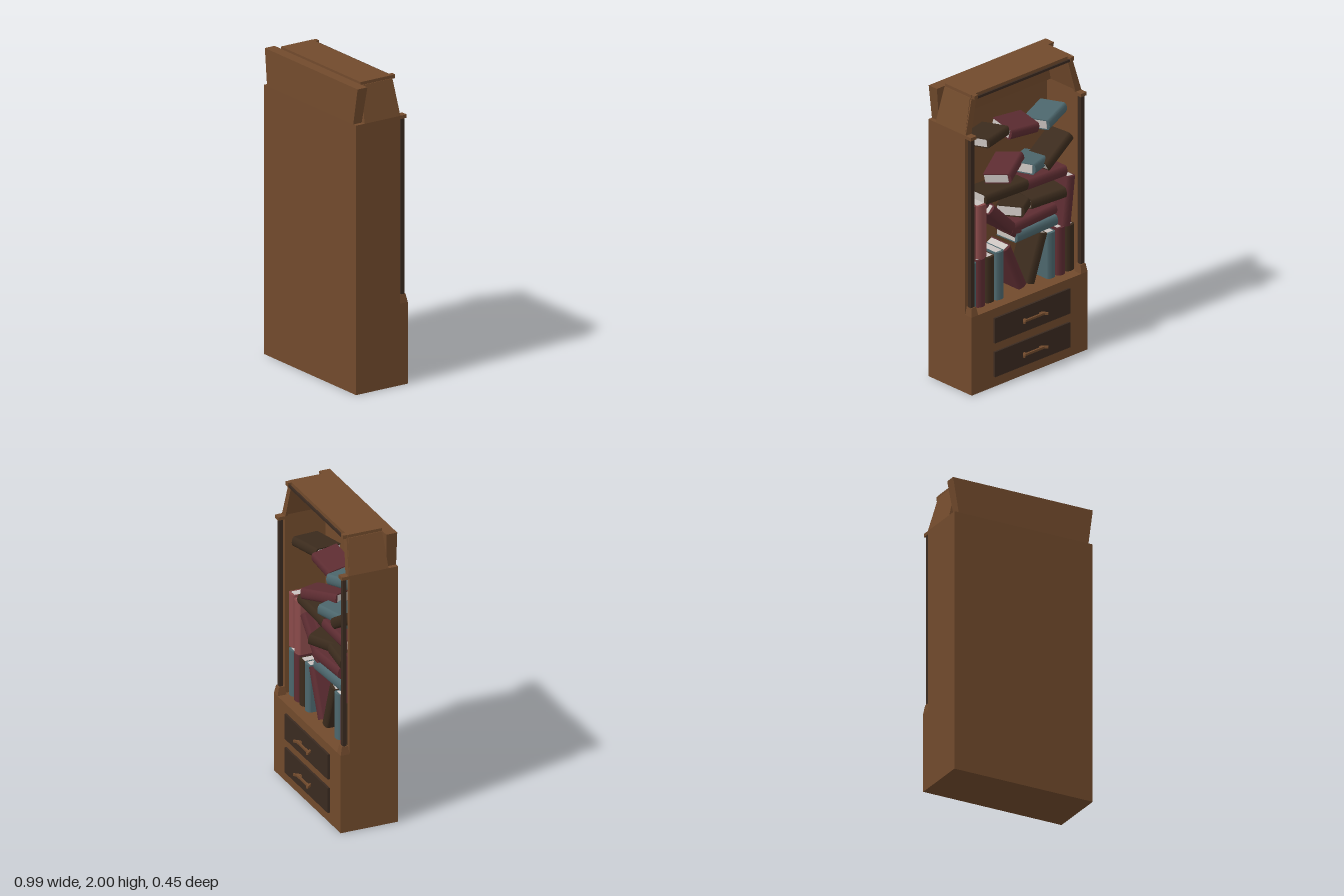
import * as THREE from 'three';

const mat = (name, color) => {
  const m = new THREE.MeshStandardMaterial({ color });
  m.name = name;
  return m;
};

export function createModel() {
  const root = new THREE.Group();
  root.name = 'bookcase';
  const wood = mat('wood', 0x714a2c), dark = mat('darkWood', 0x3a2a20), paper = mat('paper', 0xc9c2be);
  const cover = {
    maroon: mat('maroonCover', 0x5c2c31), slate: mat('slateCover', 0x4c666c),
    brown: mat('brownCover', 0x3b2b1d), rose: mat('roseCover', 0x8a4a4a),
  };

  const add = (name, geo, material, parent = root) => {
    const m = new THREE.Mesh(geo, material);
    m.name = name;
    parent.add(m);
    return m;
  };

  // Box whose bottom and top rectangles [x0, x1, z0, z1] may differ
  const block = (name, material, y0, y1, b, t = b, parent = root) => {
    const g = new THREE.BoxGeometry(1, 1, 1), p = g.attributes.position;
    for (let i = 0; i < p.count; i++) {
      const up = p.getY(i) > 0, r = up ? t : b;
      p.setXYZ(i, p.getX(i) > 0 ? r[1] : r[0], up ? y1 : y0, p.getZ(i) > 0 ? r[3] : r[2]);
    }
    g.computeVertexNormals();
    return add(name, g, material, parent);
  };
  // The same block on both sides
  const pair = (name, material, y0, y1, b, t = b) => {
    const flip = r => [-r[1], -r[0], r[2], r[3]];
    block(name + 'Left', material, y0, y1, b, t);
    block(name + 'Right', material, y0, y1, flip(b), flip(t));
  };

  // Case
  block('lowerCabinet', wood, 0, 0.53, [-0.49, 0.49, -0.17, 0.22]);
  block('backPanel', wood, 0.53, 1.75, [-0.49, 0.49, 0.165, 0.22]);
  pair('sideWall', wood, 0.53, 1.75, [0.46, 0.49, -0.11, 0.165]);

  // Tapered hood and flared crown board
  pair('hoodSide', wood, 1.75, 1.98, [0.46, 0.49, -0.11, 0.155], [0.4, 0.43, -0.09, 0.14]);
  pair('hoodFrame', wood, 1.75, 1.98, [0.44, 0.489, -0.115, -0.1], [0.385, 0.425, -0.1, -0.085]);
  block('hoodBack', wood, 1.75, 1.98, [-0.46, 0.46, 0.13, 0.155], [-0.4, 0.4, 0.115, 0.14]);
  block('hoodRoof', wood, 1.975, 2, [-0.425, 0.425, -0.095, 0.14]);
  pair('hoodKnob', wood, 1.975, 2, [0.39, 0.422, -0.122, -0.09]);
  block('hoodRod', dark, 1.972, 1.988, [-0.395, 0.395, -0.118, -0.106]);
  block('crownBoard', wood, 1.75, 1.985, [-0.46, 0.46, 0.157, 0.22], [-0.495, 0.495, 0.138, 0.212]);

  // Free-standing posts with feet and caps
  pair('postFoot', wood, 0.53, 0.585, [0.435, 0.49, -0.17, -0.11], [0.442, 0.483, -0.158, -0.117]);
  pair('post', dark, 0.585, 1.73, [0.45, 0.48, -0.151, -0.125]);
  pair('postCap', wood, 1.728, 1.75, [0.442, 0.49, -0.162, -0.108]);

  // Drawers with handles
  for (const [name, y] of [['lowerDrawer', 0.155], ['upperDrawer', 0.385]]) {
    const drawer = new THREE.Group();
    drawer.name = name;
    root.add(drawer);
    block('drawerFront', dark, y - 0.085, y + 0.085, [-0.33, 0.305, -0.184, -0.17], undefined, drawer);
    block('handleBar', wood, y - 0.007, y + 0.007, [-0.088, 0.072, -0.21, -0.198], undefined, drawer);
    for (const s of [-1, 1]) {
      const leg = add('handleLeg', new THREE.BoxGeometry(0.058, 0.014, 0.014), wood, drawer);
      leg.position.set(-0.008 + s * 0.082, y, -0.2);
      leg.rotation.y = s * 0.85;
    }
  }

  // Book: a wrapped cover with rounded spine toward -z, and a page block
  const addBook = (color, x, y, z, rz = 0, ry = 0, rx = 0, h = 0.33, t = 0.035, d = 0.08) => {
    const c = 0.007, s = new THREE.Shape();
    s.moveTo(t, -d);
    s.lineTo(t, d);
    s.absellipse(0, d, t, 0.02, 0, Math.PI, false, 0);
    s.lineTo(-t, -d);
    s.lineTo(-t + c, -d);
    s.lineTo(-t + c, d);
    s.lineTo(t - c, d);
    s.lineTo(t - c, -d);
    s.closePath();
    const g = new THREE.ExtrudeGeometry(s, { depth: h, bevelEnabled: false, curveSegments: 8 });
    g.translate(0, 0, -h / 2);
    g.rotateX(-Math.PI / 2);
    const book = new THREE.Group();
    book.name = color + 'Book';
    add('cover', g, cover[color], book);
    add('pages', new THREE.BoxGeometry(2 * (t - c), h - 0.004, 2 * d - 0.008), paper, book);
    book.position.set(x, y, z);
    book.rotation.set(rx, ry, rz, 'YXZ');
    root.add(book);
  };
  const flat = Math.PI / 2;

  // Bottom row, upright and leaning
  [['slate', 0.41], ['maroon', 0.333], ['brown', 0.255], ['slate', 0.175], ['slate', -0.26], ['maroon', -0.345], ['brown', -0.42]]
    .forEach(([c, x], i) => addBook(c, x, 0.69, 0, 0, 0, 0, 0.31 + 0.015 * (i % 2)));
  addBook('maroon', 0.05, 0.705, 0, -0.42);
  addBook('brown', -0.14, 0.705, 0, 0.34);

  // Second tier
  addBook('rose', 0.41, 1.05, 0, 0, 0, 0, 0.36);
  addBook('rose', 0.325, 1.04, 0, 0, 0, 0, 0.36, 0.04);
  addBook('maroon', 0.13, 1.04, 0, -0.78);
  addBook('maroon', 0.18, 1.1, 0.05, -0.7);
  addBook('maroon', -0.41, 1.01, 0, 0.12);
  addBook('slate', -0.13, 0.905, 0, flat, 0.05, 0, 0.36);
  addBook('maroon', -0.11, 0.98, 0, flat - 0.06, 0, 0, 0.38);
  addBook('brown', -0.02, 1.08, 0, flat + 0.1, 0.6, 0, 0.25);
  addBook('brown', -0.25, 1.08, 0, flat - 0.05, -0.15, 0, 0.26);
  addBook('brown', 0.12, 1.235, 0, flat + 0.03, 0, 0, 0.36);
  addBook('maroon', -0.22, 1.225, 0, flat + 0.02, 0, 0, 0.33);

  // Upper loose books
  addBook('maroon', 0.07, 1.36, 0, flat - 0.12, 0.5, 0.15, 0.27);
  addBook('slate', -0.15, 1.33, 0, flat + 0.1, 0.4, 0, 0.24);
  addBook('brown', -0.32, 1.37, 0, flat - 0.55, 0.1, 0, 0.26);
  addBook('brown', 0.22, 1.63, 0, flat, 0.25, 0.1, 0.23, 0.032, 0.09);
  addBook('maroon', -0.03, 1.62, 0, flat + 0.12, 0, -0.2, 0.24);
  addBook('slate', -0.28, 1.61, 0, flat - 0.1, 0.35, 0.05, 0.24);

  return root;
}
